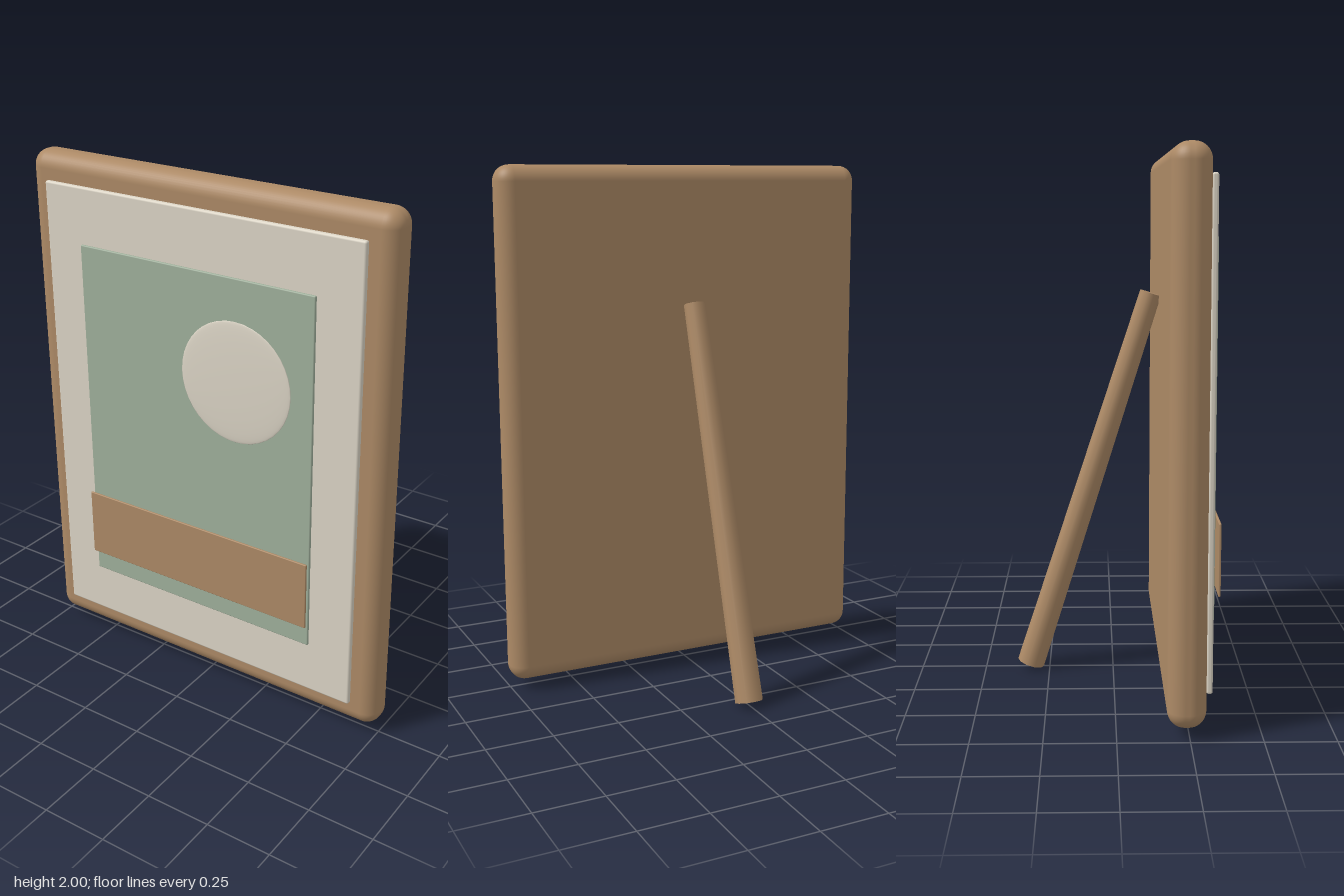
import * as THREE from 'three';
import { RoundedBoxGeometry } from 'three/addons/geometries/RoundedBoxGeometry.js';

export function createModel() {
  const model = new THREE.Group();
  model.name = 'pictureFrame';

  const material = (name, color) => {
    const m = new THREE.MeshStandardMaterial({ color });
    m.name = name;
    return m;
  };
  const wood = material('wood', 0xad8a66);
  const cream = material('cream', 0xdcd5c6);
  const sage = material('sage', 0xa0b09c);

  const add = (name, geometry, mat) => {
    const mesh = new THREE.Mesh(geometry, mat);
    mesh.name = name;
    model.add(mesh);
    return mesh;
  };

  // Upright rounded slab given by half width, y range and z range
  const slab = (name, halfWidth, y0, y1, z0, z1, radius, segments, mat) => {
    const geometry = new RoundedBoxGeometry(2 * halfWidth, y1 - y0, z1 - z0, segments, radius);
    add(name, geometry, mat).position.set(0, (y0 + y1) / 2, (z0 + z1) / 2);
  };

  // Frame board, mat, print and the painted band, stacked towards the front
  slab('frameBoard', 0.755, 0.037, 2.0, 0.172, 0.307, 0.06, 5, wood);
  slab('mat', 0.66, 0.137, 1.902, 0.31, 0.332, 0.008, 2, cream);
  slab('print', 0.492, 0.345, 1.695, 0.338, 0.35, 0.004, 2, sage);
  slab('band', 0.492, 0.432, 0.697, 0.363, 0.372, 0.003, 2, wood);

  // Sun: a very flat lens
  const sun = add('sun', new THREE.SphereGeometry(0.226, 40, 20), cream);
  sun.scale.z = 0.04;
  sun.position.set(0.187, 1.322, 0.363);

  // Tapered back leg leaning away from the board
  const top = new THREE.Vector3(0, 1.474, 0.142);
  const foot = new THREE.Vector3(0, 0.018, -0.324);
  const axis = top.clone().sub(foot);
  const leg = add('backLeg', new THREE.CylinderGeometry(0.041, 0.053, axis.length(), 10), wood);
  leg.position.addVectors(top, foot).multiplyScalar(0.5);
  leg.quaternion.setFromUnitVectors(new THREE.Vector3(0, 1, 0), axis.normalize());

  return model;
}
